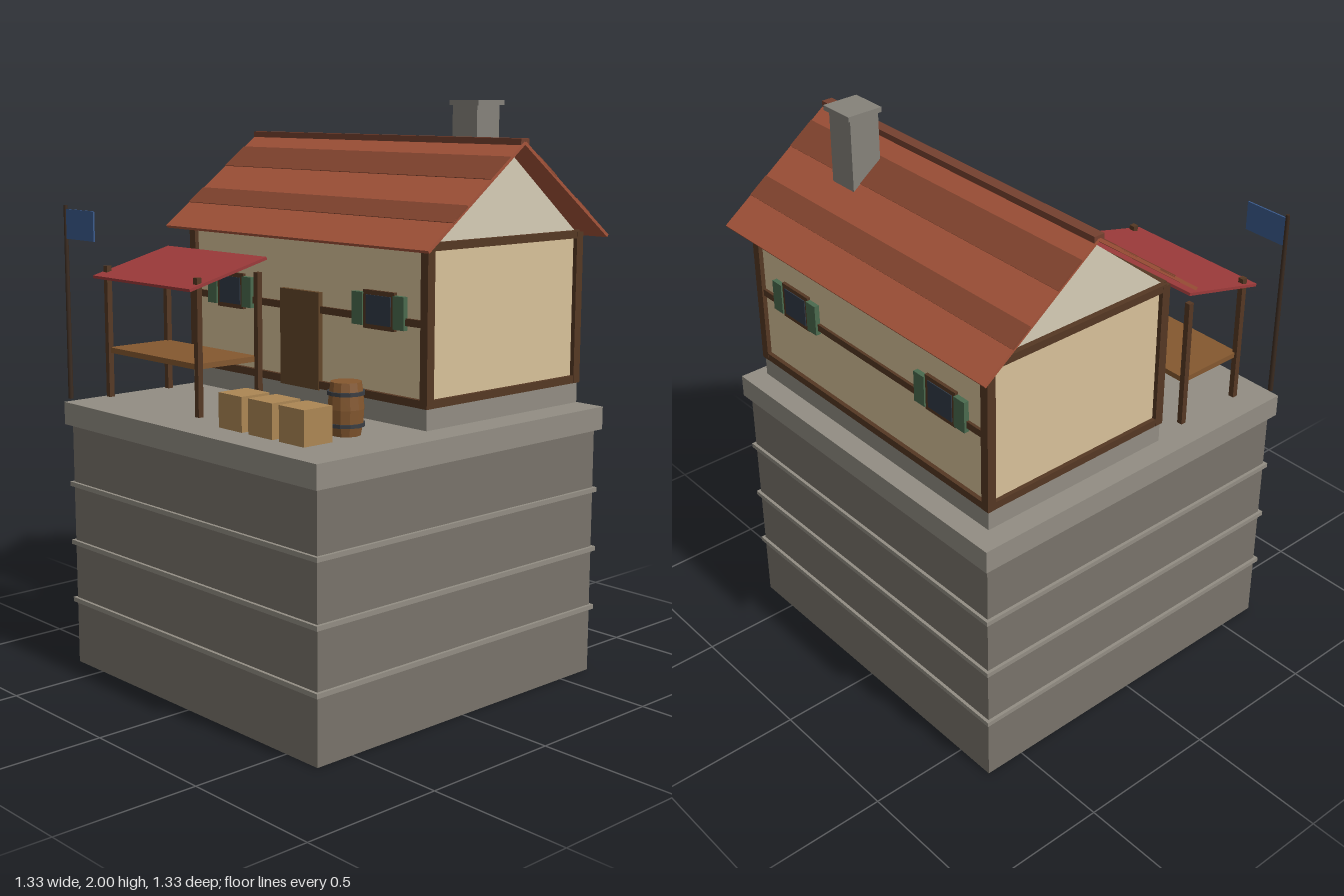
import * as THREE from 'three';

const mat = (color, extra = {}) => {
  const m = new THREE.MeshStandardMaterial({ color, ...extra });
  return m;
};
const M = {
  stone: mat(0x78736a), cap: mat(0x928d83), chimney: mat(0x85827a), wall: mat(0xd8c199),
  gable: mat(0xd6ccb6), timber: mat(0x553823), door: mat(0x634629), glass: mat(0x303a46),
  shutter: mat(0x4a6a4e), roof: mat(0xa5543a), roofDark: mat(0x85452f), ridge: mat(0x74402f),
  cloth: mat(0x9c3a3a), plank: mat(0x84582f), crate: mat(0xac8654), barrel: mat(0x85582f, { flatShading: true }),
  hoop: mat(0x3a3d42, { flatShading: true }), flag: mat(0x3a5a8c, { side: THREE.DoubleSide }), pole: mat(0x3b2b20),
};

// Adds a box given by its extents on each axis
function box(parent, name, material, [x0, x1], [y0, y1], [z0, z1]) {
  const mesh = new THREE.Mesh(new THREE.BoxGeometry(x1 - x0, y1 - y0, z1 - z0), material);
  mesh.position.set((x0 + x1) / 2, (y0 + y1) / 2, (z0 + z1) / 2);
  mesh.name = name;
  parent.add(mesh);
  return mesh;
}

function group(parent, name) {
  const g = new THREE.Group();
  g.name = name;
  parent.add(g);
  return g;
}

const around = (c, half) => [c - half, c + half];

// Stone tower block with a slab and three thin bands
function buildBase(root) {
  const g = group(root, 'stoneBase');
  const s = [-0.645, 0.645], c = [-0.665, 0.665], b = [-0.656, 0.656];
  box(g, 'baseBlock', M.stone, s, [0, 0.875], s);
  box(g, 'topSlab', M.cap, c, [0.875, 0.955], c);
  for (const y of [0.234, 0.447, 0.66]) box(g, 'band', M.cap, b, around(y, 0.008), b);
}

// Window with frame and shutters, facing +z from the wall plane
function buildWindow(parent, x, y) {
  const g = group(parent, 'window');
  g.position.set(x, y, 0);
  box(g, 'windowFrame', M.timber, [-0.072, 0.072], [-0.063, 0.063], [-0.01, 0.012]);
  box(g, 'glass', M.glass, [-0.057, 0.057], [-0.048, 0.048], [0, 0.015]);
  for (const s of [-1, 1]) box(g, 'shutter', M.shutter, around(s * 0.096, 0.025), [-0.054, 0.054], [-0.01, 0.018]);
}

// House body, centred on its own z = 0
function buildHouse(root) {
  const g = group(root, 'house');
  g.position.z = -0.23;
  const hx = 0.59, hz = 0.36;
  box(g, 'foundation', M.cap, [-0.6, 0.6], [0.97, 1.045], [-0.37, 0.37]);
  box(g, 'walls', M.wall, [-hx, hx], [1.045, 1.55], [-hz, hz]);

  // Timber frame
  for (const sx of [-1, 1]) for (const sz of [-1, 1])
    box(g, 'cornerPost', M.timber, around(sx * hx, 0.016), [1.04, 1.56], around(sz * hz, 0.016));
  for (const y of [1.053, 1.552]) for (const s of [-1, 1]) {
    box(g, 'longBeam', M.timber, [-hx, hx], around(y, 0.013), around(s * hz, 0.015));
    box(g, 'sideBeam', M.timber, around(s * hx, 0.015), around(y, 0.013), [-hz, hz]);
  }
  for (const s of [-1, 1]) box(g, 'middleRail', M.timber, [-hx, hx], around(1.308, 0.012), around(s * hz, 0.01));

  // Door, and windows on the front and back walls
  box(g, 'door', M.door, [-0.1, 0.097], [1.035, 1.367], [0.34, 0.378]);
  for (const turn of [0, Math.PI]) {
    const side = group(g, turn ? 'backWindows' : 'frontWindows');
    side.rotation.y = turn;
    for (const x of [-0.38, 0.38]) {
      const holder = group(side, 'windowBay');
      holder.position.z = hz;
      buildWindow(holder, x, 1.334);
    }
  }

  // Gable prism between the two ends
  const tri = new THREE.Shape([[-0.36, 1.56], [0.36, 1.56], [0, 1.85]].map(p => new THREE.Vector2(...p)));
  const gable = new THREE.Mesh(new THREE.ExtrudeGeometry(tri, { depth: 1.17, bevelEnabled: false }), M.gable);
  gable.rotation.y = Math.PI / 2;
  gable.position.x = -0.585;
  gable.name = 'gable';
  g.add(gable);

  // Two roof slopes, each a thin panel with darker shingle rows
  const drop = 0.322, run = 0.435, len = Math.hypot(drop, run), w = [-0.665, 0.665];
  for (const turn of [0, Math.PI]) {
    const side = group(g, turn ? 'backRoof' : 'frontRoof');
    side.position.y = 1.868;
    side.rotation.y = turn;
    const slope = group(side, 'roofSlope');
    slope.rotation.x = Math.atan2(drop, run);
    box(slope, 'roofPanel', M.roof, w, [-0.006, 0.005], [0, len]);
    for (const [a, b] of [[0.15, 0.36], [0.6, 0.755]])
      box(slope, 'shingleRow', M.roofDark, w, [0, 0.0075], [a * len, b * len]);
  }
  box(g, 'ridgeBeam', M.ridge, w, [1.86, 1.881], [-0.02, 0.02]);

  // Chimney
  box(g, 'chimney', M.chimney, [0.272, 0.384], [1.6, 1.985], [-0.187, -0.077]);
  box(g, 'chimneyCap', M.chimney, [0.262, 0.395], [1.983, 2], [-0.2, -0.07]);
}

// Market stall with posts, counter and sloping awning
function buildStall(root) {
  const g = group(root, 'stall');
  for (const x of [-0.575, -0.066]) for (const z of [0.275, 0.53])
    box(g, 'stallPost', M.timber, around(x, 0.01), [0.97, 1.432], around(z, 0.01));
  box(g, 'counter', M.plank, [-0.575, -0.075], [1.127, 1.146], [0.272, 0.532]);
  const awning = box(g, 'awning', M.cloth, [-0.595, -0.045], around(1.437, 0.005), [0.247, 0.583]);
  awning.rotation.x = Math.atan2(0.082, 0.32);
}

// Crates, barrel and flag in the yard
function buildYard(root) {
  const g = group(root, 'yard');
  for (const x of [0.167, 0.315, 0.463]) box(g, 'crate', M.crate, around(x, 0.058), [0.97, 1.085], around(0.529, 0.058));

  const barrel = group(g, 'barrel');
  barrel.position.set(0.463, 0.97, 0.36);
  const pts = [[0, 0], [0.048, 0], [0.056, 0.04], [0.059, 0.085], [0.056, 0.13], [0.05, 0.17], [0, 0.17]];
  const body = new THREE.Mesh(new THREE.LatheGeometry(pts.map(p => new THREE.Vector2(...p)), 12), M.barrel);
  body.name = 'barrelBody';
  barrel.add(body);
  for (const y of [0.035, 0.135]) {
    const hoop = new THREE.Mesh(new THREE.CylinderGeometry(0.061, 0.061, 0.012, 12), M.hoop);
    hoop.position.y = y;
    hoop.name = 'barrelHoop';
    barrel.add(hoop);
  }

  const pole = new THREE.Mesh(new THREE.CylinderGeometry(0.007, 0.009, 0.675, 8), M.pole);
  pole.position.set(-0.637, 1.3075, 0.655);
  pole.name = 'flagPole';
  g.add(pole);
  box(g, 'flag', M.flag, [-0.634, -0.468], [1.53, 1.632], [0.652, 0.658]);
}

export function createModel() {
  const root = new THREE.Group();
  root.name = 'houseOnStoneBase';
  buildBase(root);
  buildHouse(root);
  buildStall(root);
  buildYard(root);
  return root;
}
